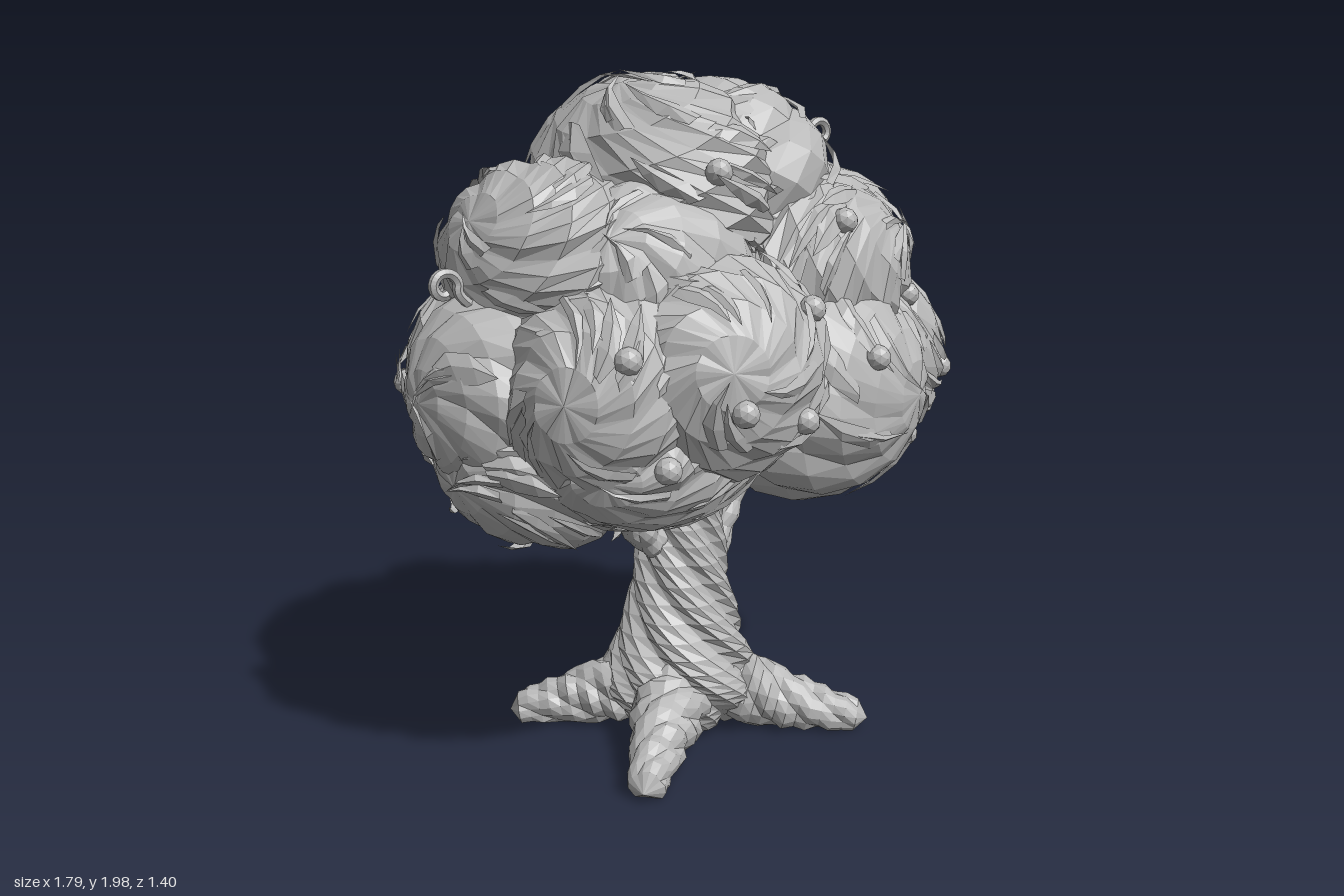
import * as THREE from 'three';
import { mergeGeometries } from 'three/addons/utils/BufferGeometryUtils.js';

const V = (x, y, z) => new THREE.Vector3(x, y, z);
const TAU = Math.PI * 2;

let seed = 7;
function rnd(a = 0, b = 1) {
  seed = (seed * 16807) % 2147483647;
  return a + (b - a) * (seed / 2147483647);
}

// Grid surface from cross-sections; fn(row 0..1, column index) gives a point
function loft(rows, cols, fn, closed = true) {
  const pos = [], idx = [], w = closed ? cols : cols + 1;
  for (let i = 0; i <= rows; i++) {
    for (let j = 0; j < w; j++) pos.push(...fn(i / rows, j).toArray());
  }
  for (let i = 0; i < rows; i++) {
    for (let j = 0; j < cols; j++) {
      const a = i * w + j, b = i * w + (j + 1) % w;
      idx.push(a, b, a + w, b, b + w, a + w);
    }
  }
  const g = new THREE.BufferGeometry();
  g.setAttribute('position', new THREE.Float32BufferAttribute(pos, 3));
  g.setIndex(idx);
  const flat = g.toNonIndexed();
  flat.computeVertexNormals();
  return flat;
}

// Asymmetric bump repeated around a section: one overlapping strand each
const STRAND = [-0.6, 0.5, 1, 0.75];
const strand = (j) => STRAND[j % 4];

// Foliage clumps: centre x, y, z and radii x, y, z
const PAIRED = [
  [-0.20, 1.20, 0.40, 0.32, 0.31, 0.28],
  [0.21, 1.09, 0.35, 0.37, 0.32, 0.28],
  [0.25, 1.41, 0.24, 0.36, 0.29, 0.28],
  [-0.27, 1.42, 0.20, 0.33, 0.28, 0.28],
  [-0.45, 1.15, 0.28, 0.29, 0.31, 0.27],
  [0.46, 1.13, 0.24, 0.29, 0.30, 0.27],
  [-0.33, 0.99, 0.27, 0.34, 0.23, 0.27],
];
const SINGLE = [
  [-0.13, 1.62, 0.02, 0.30, 0.35, 0.42],
  [0.14, 1.62, -0.02, 0.29, 0.34, 0.43],
  [-0.45, 1.47, 0, 0.28, 0.27, 0.37],
  [0.46, 1.45, 0, 0.28, 0.27, 0.37],
  [0.61, 1.14, -0.02, 0.27, 0.28, 0.27],
  [-0.60, 1.12, 0, 0.27, 0.29, 0.28],
  [0.54, 0.91, -0.03, 0.28, 0.26, 0.30],
  [-0.47, 0.95, 0.03, 0.34, 0.27, 0.31],
];

function makeClump([x, y, z, rx, ry, rz], i) {
  const c = V(x, y, z), r = V(rx, ry, rz);
  const axis = V(x, (y - 1.2) * 0.6 + 0.05, z).normalize();
  const q = new THREE.Quaternion().setFromUnitVectors(V(0, 1, 0), axis);
  const twist = i % 2 ? 1.0 : -1.0;
  // Point on the swirled surface, scaled outward by k
  const at = (th, ph, k = 1) => {
    const p = ph + twist * th;
    return V(Math.sin(th) * Math.cos(p), Math.cos(th), Math.sin(th) * Math.sin(p))
      .applyQuaternion(q).multiply(r).multiplyScalar(k).add(c);
  };
  return { c, r, at };
}

const inside = (p, clump, k) => p.clone().sub(clump.c).divide(clump.r).length() < k;

// Mass of swirling locks
function clumpGeometry(clump) {
  const locks = 7, lean = Array.from({ length: locks }, () => rnd(0.6, 1.3));
  return loft(10, locks * 4, (t, j) => {
    const th = t * Math.PI;
    const amp = 0.05 * Math.sin(th) * lean[Math.floor(j / 4)];
    return clump.at(th, (j / (locks * 4)) * TAU, 0.99 + amp * strand(j));
  });
}

// Pointed leaf lock that follows the swirl and lifts off at its tip
function leafGeometry(clump, th, ph) {
  const len = rnd(0.4, 0.75) * (rnd() < 0.5 ? -1 : 1);
  const half = rnd(0.07, 0.14) / Math.max(0.35, Math.sin(th));
  const lift = rnd(0.03, 0.11);
  return loft(3, 2, (t, j) => {
    const width = [0.6, 1, 0.65, 0][Math.round(t * 3)];
    const k = 1.0 + lift * t * t + (j === 1 ? 0.04 * width : 0);
    return clump.at(th + len * t, ph + (j - 1) * half * width, k);
  }, false);
}

// Tapering limb with twisted strands along a curve
function limb(a, b, c, r0, r1, turns) {
  const curve = new THREE.QuadraticBezierCurve3(a, b, c);
  const rows = 14, cols = 16;
  return loft(rows, cols, (t, j) => {
    const p = curve.getPoint(t), T = curve.getTangent(t);
    const U = V(-T.z, 0, T.x).normalize();
    const W = T.clone().cross(U);
    const ph = (j / cols) * TAU + turns * TAU * t;
    const ring = 1 + 0.08 * Math.sin(t * 40 + ph);
    const rad = t === 1 ? 0 : (r0 + (r1 - r0) * t) * (1 + 0.1 * strand(j)) * ring;
    p.addScaledVector(U, Math.cos(ph) * rad).addScaledVector(W, Math.sin(ph) * rad);
    p.y = Math.max(0, p.y);
    return p;
  });
}

export function createModel() {
  seed = 7;
  const model = new THREE.Group();
  model.name = 'tree';
  const grey = new THREE.MeshStandardMaterial({ color: 0xb8b8b8, flatShading: true, side: THREE.DoubleSide });
  grey.name = 'plain grey';
  const add = (name, geometry, parent = model) => {
    const m = new THREE.Mesh(geometry, grey);
    m.name = name;
    parent.add(m);
    return m;
  };

  // Trunk: thick twisted strands, swelling low down and tucked in under the roots
  const profile = new THREE.SplineCurve([
    [0.17, 1.0], [0.135, 0.8], [0.13, 0.62], [0.16, 0.4], [0.215, 0.22], [0.225, 0.12], [0.15, 0.02],
  ].map(([r, y]) => new THREE.Vector2(r, y)));
  const strands = 6, cols = strands * 4;
  add('trunk', loft(24, cols, (t, j) => {
    const p = profile.getPoint(Math.min(1, t / 0.95));
    const r = t === 1 ? 0 : p.x * (0.96 + 0.1 * strand(j));
    const ph = (j / cols) * TAU + 5.8 * p.y;
    return V(Math.cos(ph) * r, p.y, Math.sin(ph) * r);
  }));

  // Roots: four, spreading diagonally
  for (const [x, z] of [[0.41, 0.41], [-0.43, 0.38], [0.42, -0.33], [-0.42, -0.33]]) {
    add('root', limb(V(x * 0.2, 0.14, z * 0.2), V(x * 0.55, 0.07, z * 0.55), V(x, 0.03, z), 0.12, 0.045, 0.9));
  }

  // Branches reaching into the foliage
  add('leftBranch', limb(V(0.06, 0.4, 0), V(0.17, 0.6, -0.02), V(0.31, 0.95, -0.03), 0.055, 0.045, 0.8));
  add('rightBranch', limb(V(-0.04, 0.54, 0), V(-0.16, 0.66, 0.02), V(-0.38, 0.82, 0.03), 0.055, 0.04, 0.8));

  // Foliage
  const clumps = [
    ...PAIRED,
    ...PAIRED.map(([x, y, z, ...r]) => [-x, y, -z, ...r]),
    ...SINGLE,
  ].map(makeClump);
  const foliage = new THREE.Group();
  foliage.name = 'foliage';
  model.add(foliage);
  const core = new THREE.SphereGeometry(1, 20, 12);
  core.scale(0.52, 0.46, 0.43).translate(0, 1.2, 0);
  add('foliageCore', core, foliage);
  for (const clump of clumps) {
    add('foliageClump', clumpGeometry(clump), foliage);
    const leaves = [];
    for (let i = 0; i < 40; i++) {
      const th = rnd(0.35, 2.6), ph = rnd(0, TAU);
      if (clumps.some((o) => o !== clump && inside(clump.at(th, ph), o, 0.97))) continue;
      leaves.push(leafGeometry(clump, th, ph));
    }
    if (leaves.length) add('leafLocks', mergeGeometries(leaves), foliage);
  }

  // Fruits resting on the foliage surface, front and back
  const surfaceZ = (x, y, side) => Math.max(0, ...clumps.map(({ c, r }) => {
    const s = 1 - ((x - c.x) / r.x) ** 2 - ((y - c.y) / r.y) ** 2;
    return s > 0 ? side * c.z + r.z * Math.sqrt(s) : 0;
  }));
  const fruit = new THREE.IcosahedronGeometry(0.037, 1);
  const spots = [
    [-0.2, 1.71], [0.2, 1.57], [-0.02, 1.36], [0.5, 1.34], [0.2, 1.21], [-0.56, 1.27],
    [-0.31, 1.13], [-0.09, 1.08], [0.7, 1.1], [0.52, 0.92], [-0.45, 0.98],
  ];
  for (const s of [1, -1]) {
    for (const [x, y] of spots) {
      add('fruit', fruit).position.set(s * x, y, s * surfaceZ(s * x, y, s));
    }
  }

  // Curled tendrils
  const curl = (x, y, z, cx, cy, r, dir) => {
    const pts = [V(x, y, z)];
    for (let i = 0; i <= 9; i++) {
      const a = -0.4 + i * 0.62, k = r * (1 - i * 0.06);
      pts.push(V(cx + dir * Math.cos(Math.PI - a) * k, cy + Math.sin(a) * k, z));
    }
    return new THREE.TubeGeometry(new THREE.CatmullRomCurve3(pts), 32, 0.014, 6);
  };
  add('leftTendril', curl(0.38, 1.68, 0.02, 0.53, 1.795, 0.045, 1));
  add('rightTendril', curl(-0.68, 1.34, 0.02, -0.79, 1.42, 0.045, -1));

  return model;
}
